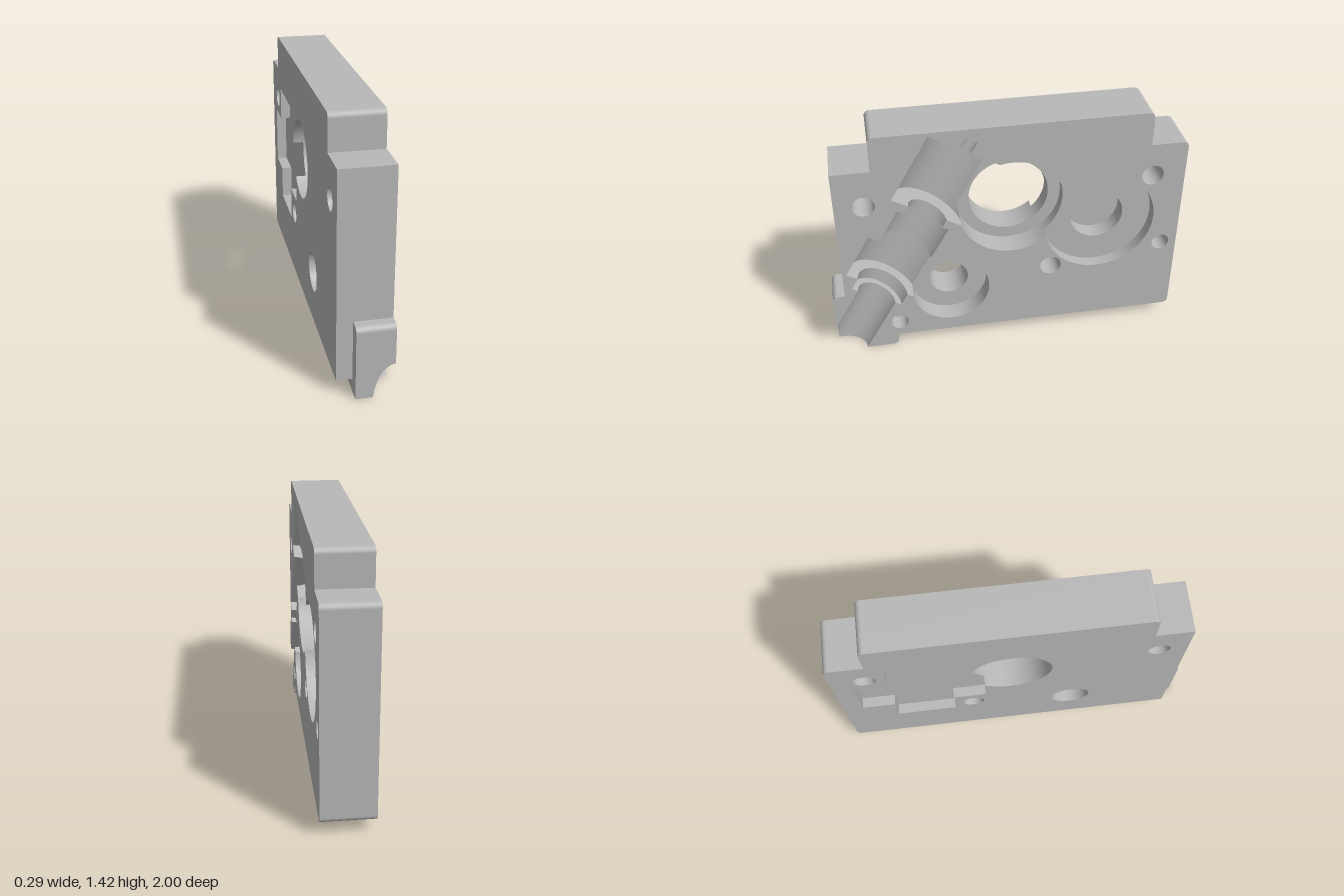
import * as THREE from 'three';

const V = (x, y, z) => new THREE.Vector3(x, y, z);
const FACE = 0.145, BACK = -0.145, FOOT_BACK = -0.06;
const SIDES = 64, EPS = 1e-6;

// A face is a convex polygon: { pts, normal(p) }.
function face(pts, normal) {
  if (!normal) {
    const n = new THREE.Plane().setFromCoplanarPoints(pts[0], pts[1], pts[2]).normal;
    normal = () => n;
  }
  return { pts, normal };
}

// Split a convex polygon by a plane into [outside, inside].
function split(pts, plane, coplanarOutside) {
  const d = pts.map((p) => plane.distanceToPoint(p));
  const pos = d.some((v) => v > EPS), neg = d.some((v) => v < -EPS);
  if (!pos && !neg) return coplanarOutside ? [pts, null] : [null, pts];
  if (!neg) return [pts, null];
  if (!pos) return [null, pts];
  const outer = [], inner = [];
  pts.forEach((p, i) => {
    const j = (i + 1) % pts.length;
    if (d[i] >= -EPS) outer.push(p);
    if (d[i] <= EPS) inner.push(p);
    if ((d[i] > EPS && d[j] < -EPS) || (d[i] < -EPS && d[j] > EPS)) {
      const m = p.clone().lerp(pts[j], d[i] / (d[i] - d[j]));
      outer.push(m);
      inner.push(m);
    }
  });
  return [outer, inner];
}

// Parts of a polygon lying outside a convex cutter.
function subtract(pts, planes, coplanarOutside) {
  const out = [];
  let rest = pts;
  for (const plane of planes) {
    const [outer, inner] = split(rest, plane, coplanarOutside);
    if (!inner) return [pts];
    if (outer) out.push(outer);
    rest = inner;
  }
  return out;
}

// Convex prism cutter: planes face outward, its faces line the cavity.
function prism(name, ring, offset, axisPoint) {
  const top = ring.map((p) => p.clone().add(offset));
  const outward = [[...ring].reverse(), top];
  ring.forEach((p, i) => {
    const j = (i + 1) % ring.length;
    outward.push([p, ring[j], top[j], top[i]]);
  });
  const axis = offset.clone().normalize();
  const radial = (p) => axisPoint.clone().sub(p).projectOnPlane(axis).normalize();
  return {
    name,
    planes: outward.map((q) => new THREE.Plane().setFromCoplanarPoints(q[0], q[1], q[2])),
    faces: outward.map((q, i) => face([...q].reverse(), axisPoint && i > 1 ? radial : null)),
  };
}

function cylinder(name, from, to, r) {
  const offset = to.clone().sub(from), axis = offset.clone().normalize();
  const e1 = Math.abs(axis.x) > 0.5 ? V(0, 1, 0) : V(1, 0, 0);
  const e2 = axis.clone().cross(e1);
  const ring = Array.from({ length: SIDES }, (_, k) => {
    const a = ((k + 0.5) / SIDES) * Math.PI * 2;
    return from.clone().addScaledVector(e1, r * Math.cos(a)).addScaledVector(e2, r * Math.sin(a));
  });
  return prism(name, ring, offset, from);
}

const hole = (name, z, y, r, x0, x1 = 0.2) => cylinder(name, V(x0, y, z), V(x1, y, z), r);
const block = (name, x0, x1, y0, y1, z0, z1) =>
  prism(name, [V(x0, y0, z0), V(x0, y1, z0), V(x0, y1, z1), V(x0, y0, z1)], V(x1 - x0, 0, 0));

// Slanted stepped channel, measured downward along its axis
const along = (t) => V(FACE, 1.297 - 0.866 * t, 0.223 + 0.5 * t);
const step = (name, t0, t1, r) => cylinder(name, along(t0), along(t1), r);

// Outline from [z, y, fillet] corners
function outline(corners) {
  const out = [];
  corners.forEach(([z, y, r], i) => {
    const p = new THREE.Vector2(-z, y);
    if (!r) return out.push({ p });
    const toward = (c) => new THREE.Vector2(-c[0], c[1]).sub(p).normalize();
    const d1 = toward(corners.at(i - 1)), d2 = toward(corners[(i + 1) % corners.length]);
    const centre = p.clone().addScaledVector(d1, r).addScaledVector(d2, r);
    for (let k = 0; k <= 6; k++) {
      const a = (k / 6) * Math.PI / 2;
      out.push({
        p: centre.clone().addScaledVector(d2, -r * Math.cos(a)).addScaledVector(d1, -r * Math.sin(a)),
        centre,
      });
    }
  });
  return out;
}

const at = (p, x) => V(x, p.y, -p.x);

function cap(line, x, flip) {
  const pts = line.map((o) => o.p);
  return THREE.ShapeUtils.triangulateShape(pts, []).map((t) => {
    const tri = t.map((i) => at(pts[i], x));
    return face(flip ? tri.reverse() : tri, () => V(flip ? -1 : 1, 0, 0));
  });
}

function walls(line, x0, x1) {
  return line.map((a, i) => {
    const b = line[(i + 1) % line.length];
    const round = a.centre && a.centre === b.centre;
    const normal = round && ((p) => V(0, p.y - a.centre.y, p.z + a.centre.x).normalize());
    return face([at(a.p, x0), at(b.p, x0), at(b.p, x1), at(a.p, x1)], normal);
  });
}

function toMesh(name, faces, material) {
  const pos = [], nor = [];
  for (const { pts, normal } of faces) {
    for (let i = 1; i < pts.length - 1; i++) {
      for (const p of [pts[0], pts[i], pts[i + 1]]) {
        pos.push(p.x, p.y, p.z);
        nor.push(...normal(p).toArray());
      }
    }
  }
  const g = new THREE.BufferGeometry();
  g.setAttribute('position', new THREE.Float32BufferAttribute(pos, 3));
  g.setAttribute('normal', new THREE.Float32BufferAttribute(nor, 3));
  const mesh = new THREE.Mesh(g, material);
  mesh.name = name;
  return mesh;
}

export function createModel() {
  const grey = new THREE.MeshStandardMaterial({ color: 0xb8b8b8 });
  grey.name = 'machined grey';

  // Housing plate with stepped top and a thinner foot at the front corner
  const R = 0.03;
  const upper = [[-1, 0.075, R], [-1, 1.225, R], [-0.79, 1.225], [-0.79, 1.425, R],
    [0.72, 1.425, R], [0.72, 1.225], [0.93, 1.225]];
  const foot = [[0.93, 0.41], [1, 0.41, R], [1, 0], [0.65, 0, R], [0.65, 0.075]];
  const full = outline([...upper, ...foot]);
  const rear = outline([...upper, [0.93, 0.075]]);
  const plate = [
    ...cap(full, FACE, false), ...walls(full, FOOT_BACK, FACE),
    ...cap(rear, BACK, true), ...walls(rear, BACK, FOOT_BACK),
    ...cap(outline([...foot, [0.93, 0.075]]), FOOT_BACK, true),
  ];

  const cutters = [
    // Gear seats and bores
    hole('mainBore', -0.03, 0.905, 0.225, -0.2),
    hole('mainBoreSeat', -0.03, 0.905, 0.295, 0.01),
    hole('gearSeat', -0.53, 0.75, 0.315, 0.075),
    hole('gearBearingPocket', -0.53, 0.75, 0.152, -0.025),
    hole('smallBore', 0.325, 0.375, 0.111, -0.2),
    hole('smallBoreSeat', 0.325, 0.375, 0.22, 0.035),
    // Bolt and dowel holes
    hole('frontBoltHole', 0.772, 1.01, 0.061, -0.2),
    hole('backBoltHole', -0.815, 1.03, 0.061, -0.2),
    hole('lowerBoltHole', -0.255, 0.47, 0.061, -0.2),
    hole('frontDowelHole', 0.635, 0.17, 0.05, 0.045),
    hole('backDowelHole', -0.905, 0.555, 0.05, 0.045),
    // Shaft channel
    step('shaftTipChannel', -0.07, 0.02, 0.035),
    step('shaftChannel', 0.1, 1.9, 0.117),
    step('shaftHeadChannel', 0, 0.427, 0.218),
    step('shaftUpperCollar', 0.48, 0.72, 0.157),
    step('shaftBearingChannel', 0.694, 0.98, 0.225),
    step('shaftLowerCollar', 0.95, 1.059, 0.155),
    // Cross-shaped recess in the rear face
    block('crossRecessUpright', -0.2, -0.087, 0.39, 1.11, -0.705, -0.365),
    block('crossRecessArm', -0.2, -0.087, 0.58, 0.92, -0.89, -0.18),
  ];

  // Cavity linings stop at the plate's outer faces
  const bounds = [[1, 0, 0, -FACE], [-1, 0, 0, BACK], [0, -1, 0, 0], [0, 0, 1, -1]]
    .map(([x, y, z, w]) => new THREE.Plane(V(x, y, z), w));
  const inside = (f) => {
    let pts = f.pts;
    for (const b of bounds) pts = pts && split(pts, b, false)[1];
    return pts ? [{ pts, normal: f.normal }] : [];
  };
  const carve = (faces, own) => cutters.reduce((list, c, j) => (j === own ? list
    : list.flatMap((f) => subtract(f.pts, c.planes, j > own)
      .map((pts) => ({ pts, normal: f.normal })))), faces);

  const model = new THREE.Group();
  model.name = 'gearHousingHalf';
  model.add(toMesh('housingPlate', carve(plate, -1), grey));
  cutters.forEach((c, i) => model.add(toMesh(c.name, carve(c.faces.flatMap(inside), i), grey)));
  return model;
}
